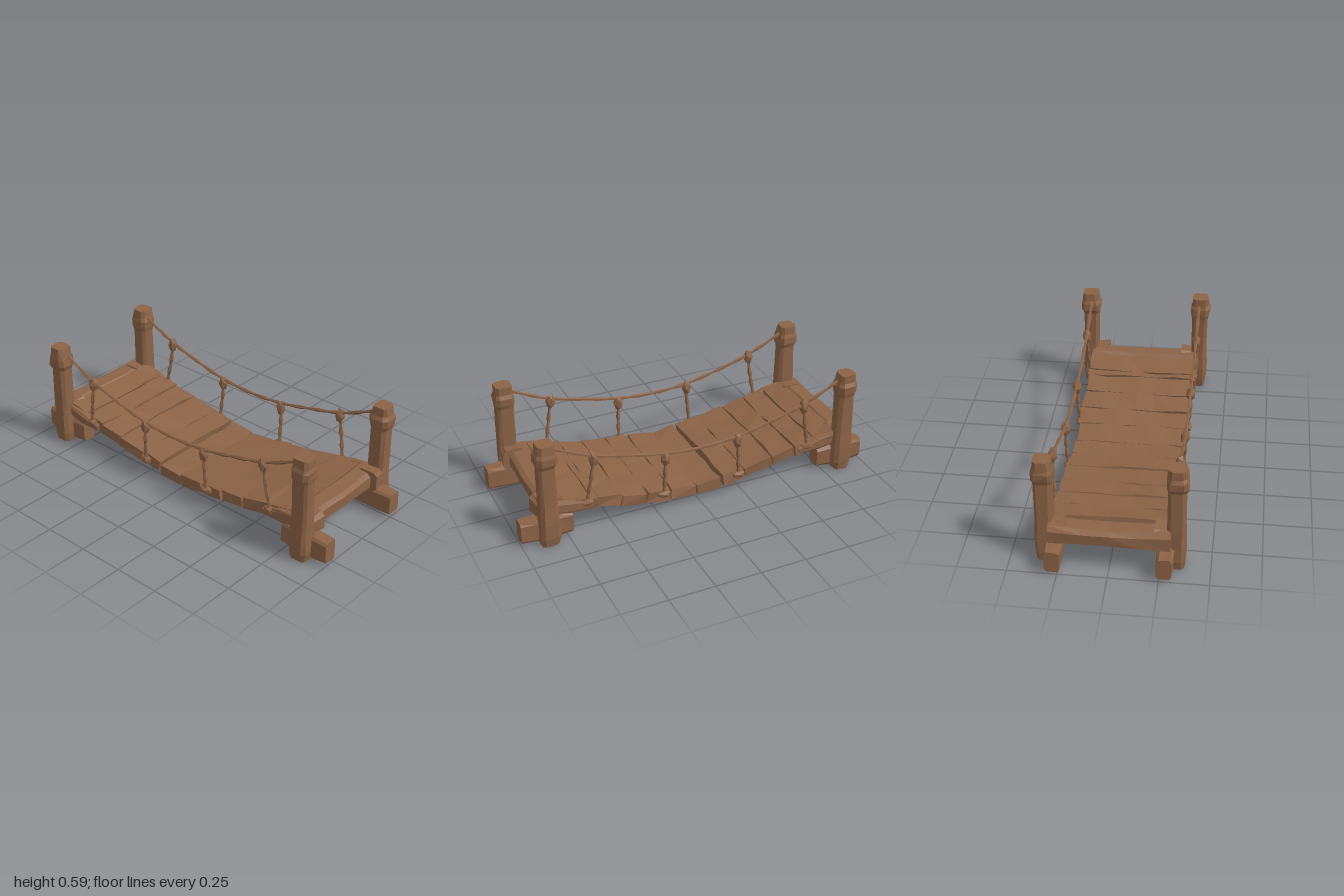
import * as THREE from 'three';

const wood = new THREE.MeshStandardMaterial({ color: 0x8b6346, flatShading: true });
wood.name = 'brown wood';

let seed = 7;
const rand = (a) => {
  seed = (seed * 16807) % 2147483647;
  return (seed / 2147483647 * 2 - 1) * a;
};

// Chamfered timber along local y; each section is [y, halfX, halfZ, shiftX, shiftZ]
function timber(sections, chamfer = 0.6, jitter = 0.004) {
  const c = chamfer, pos = [], idx = [];
  const ring = [[1, -c], [1, c], [c, 1], [-c, 1], [-1, c], [-1, -c], [-c, -1], [c, -1]];
  const n = ring.length, last = sections.length - 1;
  for (const [y, hx, hz, sx = 0, sz = 0] of sections)
    for (const [u, v] of ring)
      pos.push(u * hx + sx + rand(jitter), y, v * hz + sz + rand(jitter));
  for (let s = 0; s < last; s++)
    for (let i = 0; i < n; i++) {
      const a = s * n + i, b = s * n + (i + 1) % n;
      idx.push(a, a + n, b, b, a + n, b + n);
    }
  for (let i = 1; i < n - 1; i++) {
    idx.push(0, i, i + 1);
    idx.push(last * n, last * n + i + 1, last * n + i);
  }
  const g = new THREE.BufferGeometry();
  g.setAttribute('position', new THREE.Float32BufferAttribute(pos, 3));
  g.setIndex(idx);
  g.computeVertexNormals();
  return g;
}

function add(parent, name, geometry, x = 0, y = 0, z = 0) {
  const m = new THREE.Mesh(geometry, wood);
  m.name = name;
  m.position.set(x, y, z);
  parent.add(m);
  return m;
}

const deckTop = (x) => 0.095 + 0.17 * Math.pow(Math.abs(x), 1.2);

// Rough plank: a box whose long edges wander and whose ends are chipped
function plank(width, length) {
  const g = new THREE.BoxGeometry(width, 0.06, length, 1, 1, 6);
  const p = g.attributes.position, moved = {};
  for (let i = 0; i < p.count; i++) {
    const key = [p.getX(i), p.getY(i), p.getZ(i)].map((v) => v.toFixed(3)).join();
    moved[key] ??= [rand(0.006), rand(0.006), rand(0.009)];
    const [dx, dy, dz] = moved[key];
    p.setXYZ(i, p.getX(i) + dx, p.getY(i) + dy, p.getZ(i) + dz);
  }
  g.computeVertexNormals();
  return g;
}

// Rope through points, slightly uneven
function rope(points, radius) {
  const curve = new THREE.CatmullRomCurve3(points.map((p) => new THREE.Vector3(...p)));
  const segs = 5 * (points.length - 1);
  const g = new THREE.TubeGeometry(curve, segs, radius, 5);
  const p = g.attributes.position, c = new THREE.Vector3(), v = new THREE.Vector3();
  for (let i = 0; i <= segs; i++) {
    curve.getPointAt(i / segs, c);
    const k = 1 + 0.3 * Math.sin(i * 2.1);
    for (let j = 0; j < 6; j++) {
      v.fromBufferAttribute(p, i * 6 + j).sub(c).multiplyScalar(k).add(c);
      p.setXYZ(i * 6 + j, v.x, v.y, v.z);
    }
  }
  return g;
}

function knot(size) {
  const g = new THREE.IcosahedronGeometry(size, 0);
  g.scale(0.9, 1.5, 0.9);
  g.rotateY(rand(1));
  return g;
}

export function createModel() {
  const model = new THREE.Group();
  model.name = 'ropeBridge';

  for (const sx of [-1, 1]) {
    const end = new THREE.Group();
    end.name = sx < 0 ? 'rightEnd' : 'leftEnd';
    model.add(end);

    // Posts with a swollen band near the top, and the footing logs beside them
    for (const sz of [-1, 1]) {
      add(end, 'post', timber([
        [0, 0.045, 0.04], [0.05, 0.053, 0.047], [0.13, 0.053, 0.048], [0.24, 0.048, 0.043],
        [0.46, 0.044, 0.044], [0.485, 0.053, 0.054], [0.525, 0.053, 0.054], [0.545, 0.047, 0.046],
        [0.59, 0.043, 0.042],
      ], 0.65), sx * 0.857, 0, sz * 0.325);

      const log = add(end, 'footLog', timber([
        [-0.14, 0.058, 0.038], [-0.07, 0.063, 0.041], [0.06, 0.063, 0.041], [0.14, 0.058, 0.038],
      ], 0.75), sx * 0.86, 0.075, sz * 0.275);
      log.rotation.z = -Math.PI / 2;

      // Flared joint between post and crossbeam
      const joint = add(end, 'joint', timber([
        [-0.05, 0.062, 0.058], [0.05, 0.045, 0.045],
      ], 0.65), sx * 0.855, 0.185, sz * 0.27);
      joint.rotation.x = Math.PI / 2 * sz;

      // Side brace running from the post to the deck edge
      const brace = add(end, 'brace', timber([
        [-0.12, 0.032, 0.018], [0, 0.036, 0.022], [0.12, 0.02, 0.013],
      ], 0.6), sx * 0.72, 0.175, sz * 0.305);
      brace.rotation.z = sx * (Math.PI / 2 + 0.18);
    }

    // Crossbeam between the two posts
    const beam = add(end, 'crossbeam', timber([
      [-0.3, 0.062, 0.056], [-0.14, 0.062, 0.047], [0, 0.063, 0.046],
      [0.14, 0.062, 0.047], [0.3, 0.062, 0.056],
    ], 0.6), sx < 0 ? -0.88 : 0.82, 0.18, 0);
    beam.rotation.x = Math.PI / 2;
  }

  // Sagging deck planks
  const edges = [-0.83, -0.7, -0.575, -0.44, -0.27, -0.125, 0.02, 0.17, 0.31, 0.45, 0.585, 0.625, 0.77];
  for (let i = 0; i < edges.length - 1; i++) {
    const a = edges[i], b = edges[i + 1], mid = (a + b) / 2;
    const gap = i === 4 ? 0.018 : 0.004;
    const m = add(model, 'plank', plank(b - a - gap, 0.605), mid - gap / 2, deckTop(mid) - 0.03 + rand(0.006), -0.005);
    m.rotation.z = Math.atan2(deckTop(b) - deckTop(a), b - a);
  }

  // Handrail ropes, knots, hangers and deck lashings
  for (const sz of [-1, 1]) {
    const side = new THREE.Group();
    side.name = sz > 0 ? 'frontRail' : 'backRail';
    model.add(side);
    const z = sz * 0.318;
    add(side, 'handRope', rope([
      [-0.83, 0.55, z], [-0.62, 0.455, z], [-0.42, 0.395, z], [-0.21, 0.35, z], [0, 0.338, z],
      [0.21, 0.355, z], [0.42, 0.4, z], [0.61, 0.45, z], [0.83, 0.55, z],
    ], 0.009), 0, 0, 0);
    for (const [x, y, foot] of [[-0.61, 0.435, -0.65], [-0.215, 0.325, -0.23], [0.205, 0.325, 0.21], [0.6, 0.43, 0.64]]) {
      add(side, 'knot', knot(0.031), x, y, z);
      add(side, 'hanger', rope([
        [x, y, z], [(x * 2 + foot) / 3, y * 0.6 + deckTop(x) * 0.4, z], [foot, deckTop(foot) - 0.02, sz * 0.308],
      ], 0.01));
      const lash = add(side, 'lashing', knot(0.027), foot, deckTop(foot) - 0.02, sz * 0.308);
      lash.rotation.z = Math.PI / 2;
    }
  }
  return model;
}
